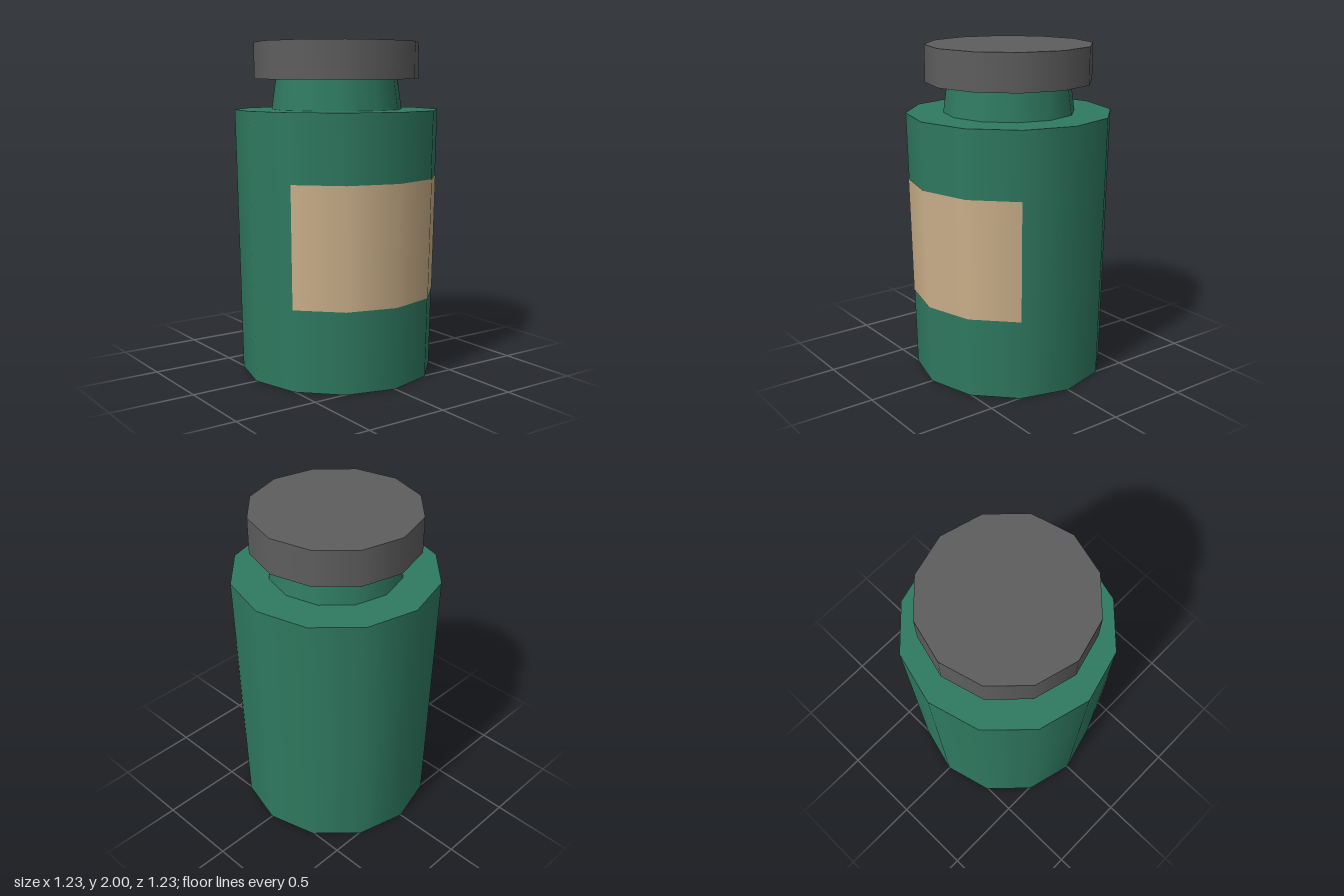
import * as THREE from 'three';

const SIDES = 12;
const BODY = { bottom: 0.585, top: 0.617, height: 1.6 };

// body radius at height y, so the label can follow the taper
const bodyRadius = (y) => THREE.MathUtils.lerp(BODY.bottom, BODY.top, y / BODY.height);

export function createModel() {
  const group = new THREE.Group();
  group.name = 'bottle';

  const green = new THREE.MeshStandardMaterial({ color: 0x2f7a60 });
  const grey = new THREE.MeshStandardMaterial({ color: 0x5e5e5e });
  const tan = new THREE.MeshStandardMaterial({ color: 0xcbb08a, side: THREE.DoubleSide });

  // upright 12-sided section between heights y0 and y1
  const section = (name, r0, r1, y0, y1, material) => {
    const geometry = new THREE.CylinderGeometry(r1, r0, y1 - y0, SIDES);
    geometry.translate(0, (y0 + y1) / 2, 0);
    const mesh = new THREE.Mesh(geometry, material);
    mesh.name = name;
    group.add(mesh);
  };

  section('body', BODY.bottom, BODY.top, 0, BODY.height, green);
  section('neck', 0.395, 0.37, BODY.height, 1.78, green);
  section('cap', 0.5, 0.5, 1.78, 2, grey);

  // label: four facets wrapped round the front, just proud of the body
  const [y0, y1, gap] = [0.485, 1.2, 0.003];
  const labelGeometry = new THREE.CylinderGeometry(
    bodyRadius(y1) + gap, bodyRadius(y0) + gap, y1 - y0,
    4, 1, true, -Math.PI / 3, (Math.PI * 2) / 3
  );
  labelGeometry.translate(0, (y0 + y1) / 2, 0);
  const label = new THREE.Mesh(labelGeometry, tan);
  label.name = 'label';
  group.add(label);

  return group;
}
